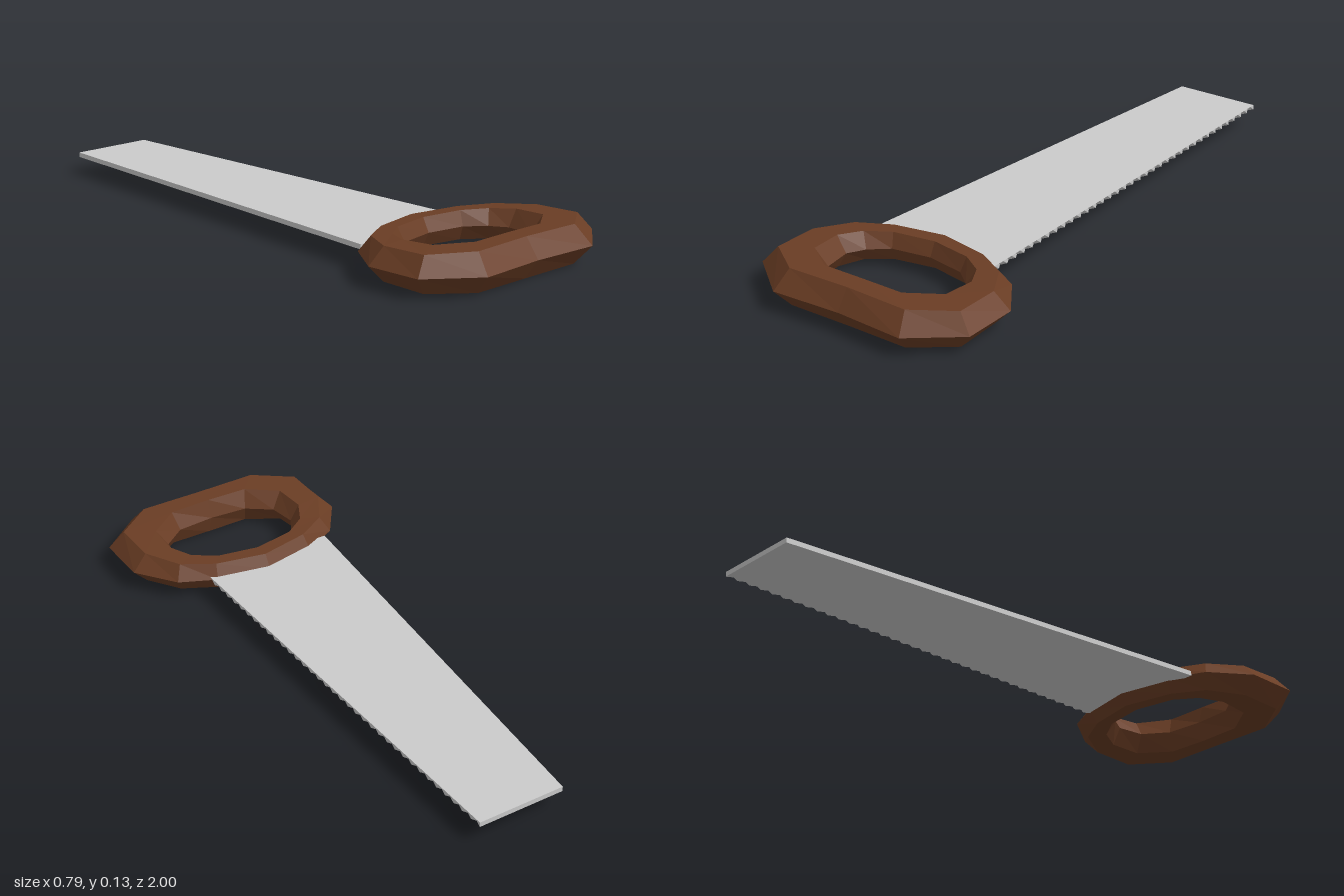
import * as THREE from 'three';

const MID = 0.065; // height of the saw's middle plane

// Half of the grip: outer rim, top outer edge, top inner edge, hole rim as [x, z], then half height
const STATIONS = [
  [[0, 0.463], [0, 0.49], [0, 0.54], [0, 0.563], 0.045],
  [[0.18, 0.5], [0.17, 0.525], [0.14, 0.565], [0.13, 0.585], 0.046],
  [[0.3, 0.557], [0.275, 0.585], [0.215, 0.615], [0.19, 0.635], 0.048],
  [[0.394, 0.69], [0.342, 0.7], [0.255, 0.69], [0.222, 0.69], 0.053],
  [[0.39, 0.876], [0.342, 0.855], [0.247, 0.8], [0.21, 0.785], 0.057],
  [[0.235, 0.998], [0.215, 0.945], [0.145, 0.872], [0.13, 0.845], 0.061],
  [[0, 0.985], [0, 0.94], [0, 0.874], [0, 0.855], 0.063],
];

// Six-sided cross-section of the grip at one station
function section([outer, topOuter, topInner, inner, h], side) {
  const at = ([x, z], y) => [x * side, MID + y, z];
  return [at(outer, 0), at(topOuter, h), at(topInner, h), at(inner, 0), at(topInner, -h), at(topOuter, -h)];
}

function handleGeometry() {
  const rings = [
    ...STATIONS.map((s) => section(s, 1)),
    ...STATIONS.slice(1, -1).reverse().map((s) => section(s, -1)),
  ];
  const n = rings.length;
  const index = [];
  for (let i = 0; i < n; i++) {
    for (let j = 0; j < 6; j++) {
      const k = (j + 1) % 6, next = (i + 1) % n;
      const a = i * 6 + j, b = i * 6 + k, c = next * 6 + k, d = next * 6 + j;
      index.push(a, b, c, a, c, d);
    }
  }
  const geo = new THREE.BufferGeometry();
  geo.setAttribute('position', new THREE.Float32BufferAttribute(rings.flat(2), 3));
  geo.setIndex(index);
  const flat = geo.toNonIndexed();
  flat.computeVertexNormals();
  return flat;
}

function bladeGeometry() {
  const teeth = 36, front = 0.53, edge = 0.2, notch = 0.188, thick = 0.016;
  const shape = new THREE.Shape();
  shape.moveTo(-0.26, front);
  shape.lineTo(-0.095, -1);
  shape.lineTo(edge, -1);
  for (let i = 1; i <= teeth * 2; i++) {
    shape.lineTo(i % 2 ? notch : edge, -1 + ((front + 1) * i) / (teeth * 2));
  }
  shape.closePath();
  const geo = new THREE.ExtrudeGeometry(shape, { depth: thick, bevelEnabled: false });
  geo.rotateX(Math.PI / 2);
  geo.translate(0, MID + thick / 2, 0);
  // Teeth are cut from below only: the upper edge stays straight
  const p = geo.attributes.position;
  for (let i = 0; i < p.count; i++) {
    if (p.getY(i) > MID && p.getX(i) > 0.15) p.setX(i, edge);
  }
  geo.computeVertexNormals();
  return geo;
}

export function createModel() {
  const group = new THREE.Group();
  group.name = 'handSaw';
  const add = (name, geometry, color) => {
    const mesh = new THREE.Mesh(
      geometry,
      new THREE.MeshStandardMaterial({ color, flatShading: true }),
    );
    mesh.name = name;
    group.add(mesh);
  };
  add('handle', handleGeometry(), 0x6a3d24);
  add('blade', bladeGeometry(), 0xcccccc);
  return group;
}
